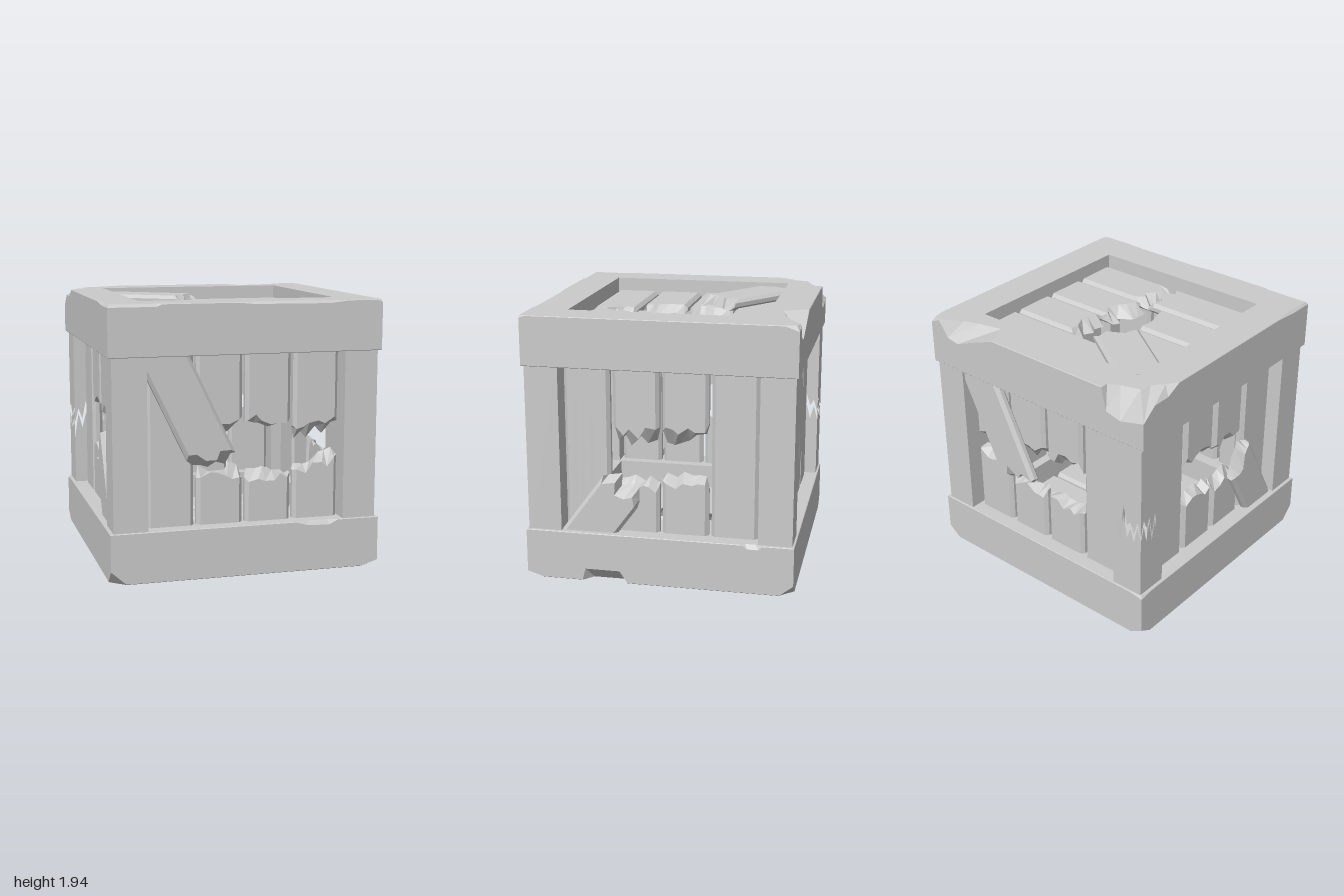
import * as THREE from 'three';

const MID = 0.97;                 // half height; panels are laid out around the crate centre
const material = new THREE.MeshStandardMaterial({ color: 0xcccccc, flatShading: true });

// Small seeded generator for the splintered ends
let seed = 7;
const rand = () => (seed = (seed * 16807) % 2147483647) / 2147483647;

// Skin a list of cross-sections. closedPath joins last to first, otherwise the ends are capped.
function skin(rows, closedPath, closedSection = true) {
  const pos = [];
  const quad = (a, b, c, d) => [a, b, c, a, c, d].forEach(p => pos.push(...p));
  const n = rows.length, m = rows[0].length;
  for (let i = 0; i < (closedPath ? n : n - 1); i++) {
    const r = rows[i], s = rows[(i + 1) % n];
    for (let j = 0; j < (closedSection ? m : m - 1); j++) {
      const k = (j + 1) % m;
      quad(r[j], s[j], s[k], r[k]);
    }
  }
  if (!closedPath) {
    quad(...rows[0]);
    quad(...[...rows[n - 1]].reverse());
  }
  const g = new THREE.BufferGeometry();
  g.setAttribute('position', new THREE.Float32BufferAttribute(pos, 3));
  g.computeVertexNormals();
  return g;
}

function add(parent, name, geometry) {
  const mesh = new THREE.Mesh(geometry, material);
  mesh.name = name;
  parent.add(mesh);
  return mesh;
}

// Bevelled plank from a clean end (x0,y0) to a splintered end (x1,y1)
function plank(parent, name, x0, y0, x1, y1, { z = 0.83, slant = 0, jag = 0.05, w = 0.335 } = {}) {
  const d = 0.04, bevel = 0.025, L = Math.hypot(x1 - x0, y1 - y0);
  const us = [-w / 2, -w / 2 + bevel, -0.07, -0.02, 0.05, 0.09, w / 2 - bevel, w / 2];
  const rows = us.map((u, i) => {
    const edge = i === 0 || i === us.length - 1;
    const t = edge ? d - bevel : d;
    const f = L + slant * u / w + (rand() - 0.6) * jag;
    const b = edge ? f + 0.1 * jag : L + slant * u / w + (rand() + 0.1) * jag;
    return [[u, 0, t], [u, f, t], [u, b, -t], [u, 0, -t]];
  });
  const mesh = add(parent, name, skin(rows, false));
  mesh.position.set(x0, y0, z);
  mesh.rotation.z = Math.atan2(x0 - x1, y1 - y0);
}

// Four slats: null is a whole slat, [low, high, lowSlant, highSlant] a snapped one
function panel(root, name, slats, diagonal) {
  const g = new THREE.Group();
  g.name = name;
  g.position.y = MID;
  const end = 0.74;
  slats.forEach((s, i) => {
    const x = (i - 1.5) * 0.356;
    if (!s) return plank(g, 'wholeSlat', x, -end, x, end, { jag: 0 });
    plank(g, 'brokenSlatLower', x, -end, x, s[0], { slant: s[2] || 0, jag: 0.07 });
    plank(g, 'brokenSlatUpper', x, end, x, s[1], { slant: s[3] || 0, jag: 0.1 });
  });
  const [x0, y0, x1, y1, slant, w] = diagonal;
  plank(g, 'loosePlank', x0, y0, x1, y1, { z: 0.9, slant, w, jag: 0.09 });
  root.add(g);
  return g;
}

// Point on a rectangle; t runs 0..4 from front -x corner, counter-clockwise from above
function onRect(t, hx, hz) {
  const c = [[-1, 1], [1, 1], [1, -1], [-1, -1]];
  const k = Math.floor(t) % 4, f = t - Math.floor(t), a = c[k], b = c[(k + 1) % 4];
  return [(a[0] + (b[0] - a[0]) * f) * hx, (a[1] + (b[1] - a[1]) * f) * hz];
}

// Square ring; each chip is [t, topDrop, topInset, bottomRise, bottomInset]
function frame(root, name, y0, y1, chips) {
  const e = 0.004;
  const rows = chips.map(([t, drop = 0, ti = 0, rise = 0, bi = 0]) => {
    const o = onRect(t, 0.985, 0.975), n = onRect(t, 0.715, 0.7);
    const p = (k, y) => [o[0] + (n[0] - o[0]) * k, y, o[1] + (n[1] - o[1]) * k];
    return [p(0, y0 + Math.max(rise, e)), p(0, y1 - Math.max(drop, e)), p(Math.max(ti, 0.015), y1),
      p(1, y1), p(1, y0), p(Math.max(bi, 0.015), y0)];
  });
  add(root, name, skin(rows, true));
}

// Hollow corner post snapped into two jagged halves
function brokenPost(root, x, z, y0, y1, h) {
  const low = [], high = [];
  const n = 32;
  for (let i = 0; i < n; i++) {
    const [px, pz] = onRect(i * 4 / n, h, h);
    const zig = i % 2 ? 0.08 : -0.08;
    const a = 0.87 + zig + (rand() - 0.5) * 0.1;
    const b = a + 0.02 + rand() * 0.1;
    low.push([[x + px, y0, z + pz], [x + px, a, z + pz]]);
    high.push([[x + px, b, z + pz], [x + px, y1, z + pz]]);
  }
  add(root, 'brokenPostLower', skin(low, true, false));
  add(root, 'brokenPostUpper', skin(high, true, false));
}

export function createModel() {
  const root = new THREE.Group();
  root.name = 'brokenCrate';

  // Top and bottom frames with chipped edges and corners
  frame(root, 'topFrame', 1.58, 1.94, [
    [0, 0.02, 0.06], [0.17, 0.02, 0.06], [0.19], [0.46], [0.52, 0.015, 0.06], [0.8, 0.02, 0.05], [0.87],
    [0.98], [1, 0.02, 0.05], [1.02], [1.95], [2, 0.04, 0.08], [2.04],
    [2.08, 0.12, 0.35], [2.13, 0.14, 0.5], [2.22, 0.07, 0.65], [2.31],
    [2.82], [2.84, 0.17, 0.2], [2.9, 0.2, 0.35], [3, 0.15, 0.5], [3.06, 0.06, 0.45], [3.13, 0.06, 0.2], [3.19],
    [3.8], [3.9, 0.02, 0.08],
  ]);
  frame(root, 'bottomFrame', 0, 0.365, [
    [0, 0, 0, 0.1, 0.2], [0.055], [0.68], [0.73, 0.03, 0.08], [0.81, 0.035, 0.08], [0.84], [0.94],
    [1, 0, 0, 0.04, 0.2], [1.06], [1.213], [1.225, 0, 0, 0.09, 0.3], [1.355, 0, 0, 0.09, 0.3], [1.385],
    [1.81], [1.83, 0.03, 0.1], [1.87, 0.03, 0.1], [1.885], [1.95],
    [2, 0, 0, 0.08, 0.2], [2.05], [2.95], [3, 0.02, 0.05, 0.06, 0.2], [3.05], [3.95],
  ]);

  // Corner posts
  const h = 0.122, c = 0.838;
  for (const [sx, sz] of [[-1, 1], [1, 1], [1, -1]]) {
    add(root, 'cornerPost', new THREE.BoxGeometry(2 * h, 1.3, 2 * h)).position.set(sx * c, MID, sz * c);
  }
  brokenPost(root, -c, -c, 0.32, 1.62, h);

  // Upright panels
  const hanging = [-0.65, 0.72, -0.255, -0.1, -0.1];
  panel(root, 'frontPanel', [null, [-0.25, 0.14], [-0.29, 0.13], [-0.22, 0.08, 0.08, 0.07]], hanging);
  panel(root, 'backPanel', [[-0.11, 0.1], [-0.22, 0.13], [-0.24, 0.14], null], hanging).rotation.y = Math.PI;
  panel(root, 'leftPanel', [null, [-0.27, 0.12], [-0.23, 0.15, 0, 0.04], null],
    [-0.61, -0.74, -0.28, -0.29, 0]).rotation.y = Math.PI / 2;
  panel(root, 'rightPanel', [null, [-0.22, 0.13], [-0.25, 0.13], null],
    [0.58, -0.66, 0.29, -0.13, 0.14, 0.3]).rotation.y = -Math.PI / 2;

  // Lid and floor: slats run along x
  const rows = [null, [-0.17, 0.2], [-0.14, 0.17, 0, -0.06], [0.02, 0.13]];
  const V = (x, y, z) => new THREE.Vector3(x, y, z);
  const lay = (g, s) => g.setRotationFromMatrix(
    new THREE.Matrix4().makeBasis(V(0, 0, s), V(1, 0, 0), V(0, s, 0)));
  lay(panel(root, 'topPanel', rows, [-0.62, -0.69, -0.26, -0.17, 0]), 1);
  lay(panel(root, 'bottomPanel', rows, [-0.66, -0.72, -0.4, -0.36, 0]), -1);

  return root;
}
